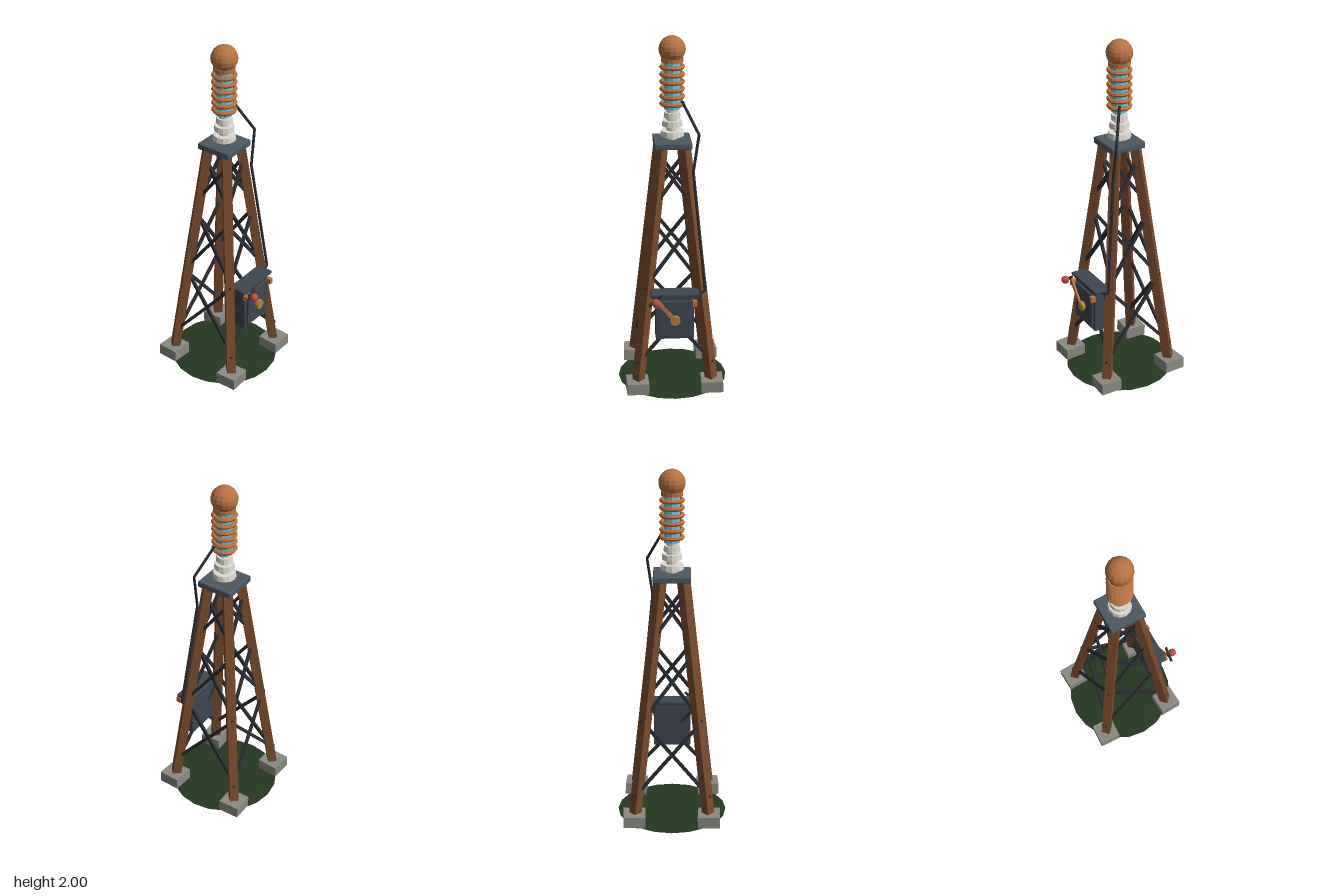
import * as THREE from 'three';
import { RoundedBoxGeometry } from 'three/addons/geometries/RoundedBoxGeometry.js';

const mat = (color) => new THREE.MeshStandardMaterial({ color, flatShading: true });
const V = (x, y, z) => new THREE.Vector3(x, y, z);

export function createModel() {
  const wood = mat(0x7a4a2b), iron = mat(0x2a2d32), plate = mat(0x4c5862), steel = mat(0x3e4650);
  const copper = mat(0xb87340), concrete = mat(0x8a8a82), ceramic = mat(0xdedbd2);
  const glass = mat(0x6fc4dc), grass = mat(0x24381f), red = mat(0xc44c3a), brass = mat(0xb48a2c);

  const model = new THREE.Group();
  const tower = new THREE.Group();
  tower.name = 'tower';
  tower.position.z = -0.005;
  model.add(tower);

  const add = (parent, name, geo, material, x = 0, y = 0, z = 0) => {
    const m = new THREE.Mesh(geo, material);
    m.name = name;
    m.position.set(x, y, z);
    parent.add(m);
    return m;
  };

  // Square bar between two points, one face turned towards `out`
  const beam = (parent, name, a, b, w, d, out, material) => {
    const m = add(parent, name, new THREE.BoxGeometry(w, d, a.distanceTo(b)), material);
    m.quaternion.setFromRotationMatrix(new THREE.Matrix4().lookAt(b, a, out));
    m.position.copy(a).lerp(b, 0.5);
    return m;
  };

  // Round bar between two points
  const rod = (parent, name, a, b, r, material) => {
    const m = add(parent, name, new THREE.CylinderGeometry(r, r, a.distanceTo(b), 6), material);
    m.quaternion.setFromUnitVectors(V(0, 1, 0), b.clone().sub(a).normalize());
    m.position.copy(a).lerp(b, 0.5);
    return m;
  };

  // Ground patch
  add(tower, 'ground', new THREE.CylinderGeometry(0.22, 0.311, 0.005, 20), grass, 0, 0.0025, 0);

  // Leg centre offset from the axis at height y
  const legAt = (y) => 0.205 - (y - 0.08) * 0.108;

  // Four splayed legs with footings and bolts
  let turn = 0.045;
  for (const sx of [-1, 1]) for (const sz of [-1, 1]) {
    const out = V(sx, 0, sz).normalize();
    const at = (y) => V(sx * legAt(y), y, sz * legAt(y));
    beam(tower, 'leg', at(0.05), at(1.41), 0.05, 0.05, out, wood);
    const foot = add(tower, 'footing', new THREE.BoxGeometry(0.123, 0.066, 0.123), concrete, sx * 0.211, 0.044, sz * 0.211);
    foot.rotation.set(0.02 * sz, turn * sx * -sz, 0.03 * sx);
    for (const y of [0.18, 0.62]) {
      const p = at(y);
      rod(tower, 'bolt', p, p.clone().addScaledVector(out, 0.03), 0.008, iron);
    }
  }

  // Three tiers of cross bracing on each of the four sides
  for (let side = 0; side < 4; side++) {
    const frame = new THREE.Group();
    frame.name = 'crossBracing';
    frame.rotation.y = side * Math.PI / 2;
    tower.add(frame);
    for (const [y0, y1] of [[0.19, 0.59], [0.64, 0.98], [1.09, 1.32]]) {
      for (const s of [-1, 1]) {
        const shift = s * 0.005;
        beam(frame, 'brace', V(-s * legAt(y0), y0, legAt(y0) + shift),
          V(s * legAt(y1), y1, legAt(y1) + shift), 0.018, 0.014, V(0, 0, 1), iron);
      }
    }
  }

  // Top platform
  add(tower, 'platform', new RoundedBoxGeometry(0.206, 0.036, 0.206, 1, 0.006), plate, 0, 1.414, 0);

  // Stacked ceramic insulator
  add(tower, 'insulatorCore', new THREE.CylinderGeometry(0.03, 0.03, 0.18, 12), ceramic, 0, 1.52, 0);
  [[1.465, 0.065], [1.521, 0.056], [1.567, 0.046]].forEach(([y, r]) =>
    add(tower, 'insulatorDisc', new THREE.CylinderGeometry(r * 0.94, r, 0.03, 12), ceramic, 0, y, 0));

  // Glowing tube wound with copper rings
  add(tower, 'glowTube', new THREE.CylinderGeometry(0.046, 0.046, 0.27, 10), glass, 0, 1.735, 0);
  for (let i = 0; i < 6; i++) {
    add(tower, 'coilRing', new THREE.TorusGeometry(0.058, 0.012, 6, 16), copper, 0, 1.63 + i * 0.0405, 0)
      .rotation.x = Math.PI / 2;
  }
  add(tower, 'topCollar', new THREE.CylinderGeometry(0.06, 0.06, 0.022, 14), copper, 0, 1.87, 0);
  add(tower, 'topBall', new THREE.SphereGeometry(0.073, 14, 10), copper, 0, 1.927, 0);

  // Cable from the coil down the front left leg to the control box
  const path = [V(0.05, 1.65, 0.025), V(0.138, 1.48, 0.095), V(0.108, 1.27, 0.098),
    V(0.172, 0.6, 0.172), V(0.12, 0.585, 0.185)];
  for (let i = 1; i < path.length; i++) rod(model, 'cable', path[i - 1], path[i], 0.008, iron);

  // Control box with door, lid and side clips
  const control = new THREE.Group();
  control.name = 'controlBox';
  model.add(control);
  add(control, 'boxBody', new RoundedBoxGeometry(0.214, 0.26, 0.075, 1, 0.005), steel, 0, 0.462, 0.183);
  add(control, 'boxDoor', new RoundedBoxGeometry(0.18, 0.215, 0.016, 1, 0.004), steel, 0, 0.458, 0.226);
  add(control, 'boxLid', new RoundedBoxGeometry(0.27, 0.02, 0.096, 1, 0.005), steel, 0, 0.597, 0.185);
  for (const s of [-1, 1])
    add(control, 'clip', new THREE.BoxGeometry(0.024, 0.032, 0.03), copper, s * 0.109, 0.553, 0.235);

  // Throw lever: hub, arm, cross grip and ball
  add(control, 'leverHub', new THREE.CylinderGeometry(0.028, 0.028, 0.022, 10), brass, 0, 0.455, 0.243)
    .rotation.x = Math.PI / 2;
  beam(control, 'leverArm', V(0.005, 0.45, 0.25), V(-0.11, 0.587, 0.25), 0.02, 0.012, V(0, 0, 1), copper);
  rod(control, 'leverGrip', V(-0.145, 0.555, 0.263), V(-0.075, 0.615, 0.263), 0.008, iron);
  rod(control, 'ballStem', V(-0.109, 0.585, 0.25), V(-0.109, 0.585, 0.285), 0.008, iron);
  add(control, 'leverBall', new THREE.SphereGeometry(0.023, 10, 8), red, -0.109, 0.585, 0.287);

  return model;
}
